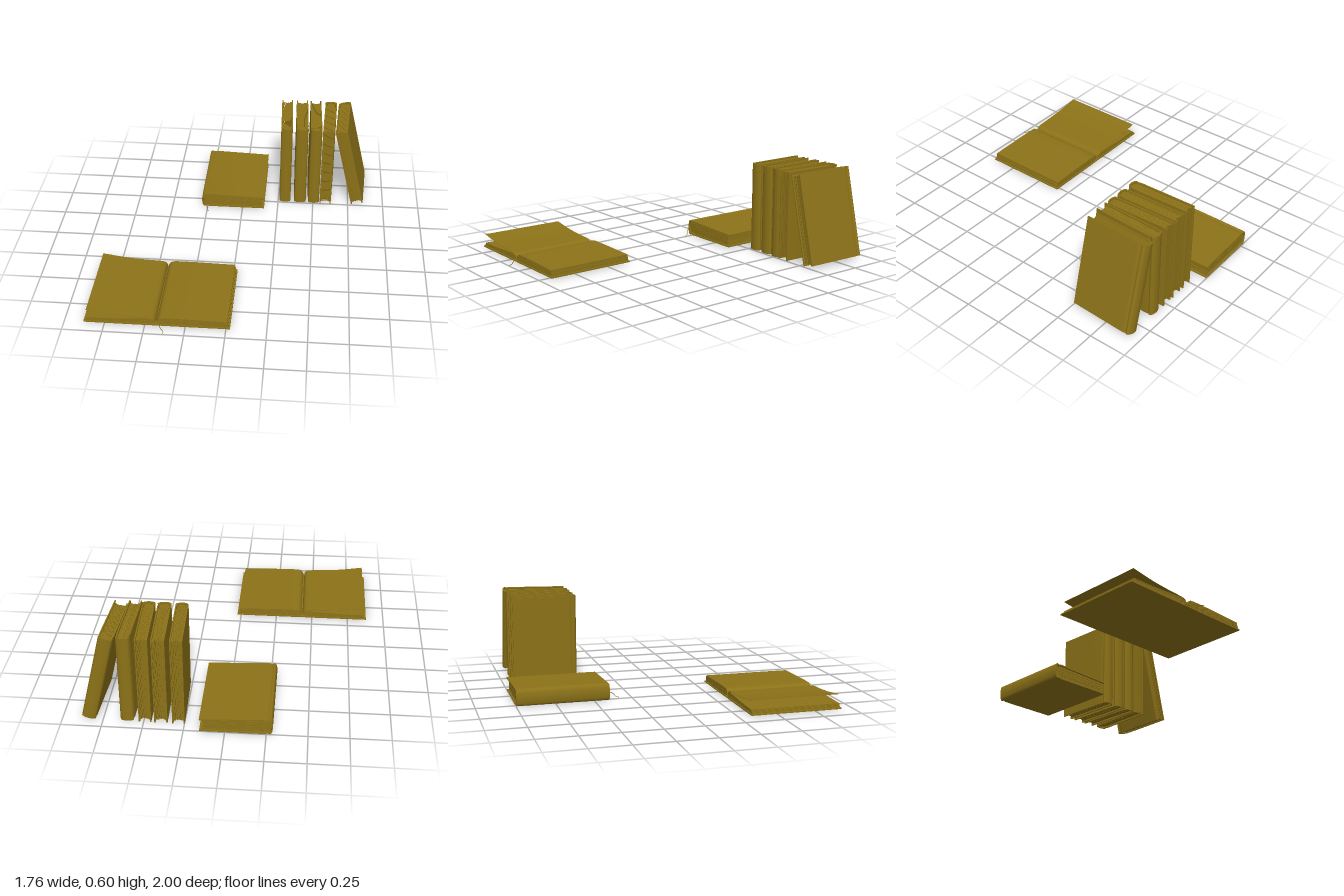
import * as THREE from 'three';
import { toCreasedNormals } from 'three/addons/utils/BufferGeometryUtils.js';

const mat = new THREE.MeshStandardMaterial({ color: 0x8c7218, side: THREE.DoubleSide });
const BOARD = 0.008; // cover thickness

// small seeded jitter in -0.5..0.5
let seed = 7;
const jitter = () => ((seed = (seed * 16807) % 2147483647) / 2147483647) - 0.5;

function add(parent, geometry, name) {
  const mesh = new THREE.Mesh(geometry, mat);
  mesh.name = name;
  parent.add(mesh);
  return mesh;
}

// extrude a closed [x, y] outline along z, centred on z = 0
function slab(points, length) {
  const shape = new THREE.Shape(points.map(([x, y]) => new THREE.Vector2(x, y)));
  const g = new THREE.ExtrudeGeometry(shape, { depth: length, bevelEnabled: false });
  g.translate(0, 0, -length / 2);
  return toCreasedNormals(g, 0.7);
}

// smooth curve through [x, y] points, sampled
function smooth(points, n) {
  const curve = new THREE.SplineCurve(points.map(([x, y]) => new THREE.Vector2(x, y)));
  return curve.getPoints(n).map((p) => [p.x, p.y]);
}

function ribbon(parent, points) {
  const curve = new THREE.CatmullRomCurve3(points.map((p) => new THREE.Vector3(...p)));
  add(parent, new THREE.TubeGeometry(curve, 16, 0.002, 5), 'bookmarkRibbon');
}

// Closed book: spine at x = 0, fore edge at x = w, thickness along y, height along z
function closedBook(name, { w = 0.44, h = 0.595, spineT = 0.09, edgeT = 0.085 }) {
  const book = new THREE.Group();
  book.name = name;
  const topAt = (x) => spineT + ((edgeT - spineT) * x) / w;

  // wrap-round cover with hinge grooves and a rounded spine
  const wrap = (o) => [
    [w, o],
    ...smooth([
      [0.06, o], [0.045, o + 0.001], [0.032, o + 0.005], [0.018, o],
      [0.006 + o, 0.012 + o * 0.5], [o, spineT / 2], [0.006 + o, spineT - 0.012 - o * 0.5],
      [0.018, topAt(0.018) - o], [0.032, topAt(0.032) - o - 0.005],
      [0.045, topAt(0.045) - o - 0.001], [0.06, topAt(0.06) - o],
    ], 40),
    [w, edgeT - o],
  ];
  add(book, slab([...wrap(0), ...wrap(BOARD).reverse()], h), 'cover');

  // page gatherings with a hollow fore edge
  const n = 9;
  const lift = (f, x) => BOARD + f * (topAt(x) - 2 * BOARD);
  for (let i = 0; i < n; i++) {
    const f0 = i / n, f1 = (i + 0.93) / n, mid = (i + 0.5) / n;
    const x0 = 0.022 - 0.012 * Math.sin(Math.PI * mid);
    const x1 = w - 0.01 - 0.014 * Math.sin(Math.PI * mid) + jitter() * 0.004;
    const dip = 0.006 * Math.cos(Math.PI * mid); // pages follow the hinge groove
    const xs = [x0, 0.032, 0.06, x1];
    const row = (f) => xs.map((x, k) => [x, lift(f, x) + (k === 1 ? dip : 0)]);
    add(book, slab([...row(f0), ...row(f1).reverse()], h - 0.022 + jitter() * 0.006), 'pages');
  }
  return book;
}

// Stand a book upright: spine forward (+z) or backward, turned and leaning about its foot
function standing(name, { x, z, yaw, lean = 0, spineFront, t }) {
  const h = 0.595, w = 0.435;
  const book = closedBook(name + 'Book', { w, h, spineT: t, edgeT: t * 0.96 });
  const s = spineFront ? -1 : 1;
  const basis = new THREE.Matrix4().makeBasis(
    new THREE.Vector3(0, 0, s), new THREE.Vector3(s, 0, 0), new THREE.Vector3(0, 1, 0));
  book.quaternion.setFromRotationMatrix(basis);
  book.position.set(spineFront ? t : 0, h / 2, (-s * w) / 2);
  const pivot = new THREE.Group();
  pivot.name = name;
  pivot.rotation.set(0, yaw, lean, 'ZYX');
  pivot.position.set(x, 0, z);
  pivot.add(book);
  return pivot;
}

function openBook() {
  const book = new THREE.Group();
  book.name = 'openBook';
  const length = 0.59;

  // flat cover boards joined by a slightly raised spine strip
  const crest = smooth([[-0.45, 0], [-0.03, 0], [-0.015, 0.006], [0, 0.002],
    [0.015, 0.006], [0.03, 0], [0.455, 0]], 60);
  const top = crest.map(([x, y]) => [x, y + BOARD]).reverse();
  add(book, slab([...crest, ...top], length), 'cover');

  // page stacks swelling beside the gutter; [distance from gutter, height]
  const sides = [
    { s: -1, layers: 4, profile: [[0.004, 0.012], [0.02, 0.03], [0.05, 0.038], [0.12, 0.034], [0.28, 0.026], [0.425, 0.023]] },
    { s: 1, layers: 6, profile: [[0.004, 0.012], [0.018, 0.036], [0.045, 0.046], [0.13, 0.047], [0.28, 0.044], [0.436, 0.04]] },
  ];
  for (const { s, layers, profile } of sides) {
    const curve = smooth(profile, 30);
    for (let i = 0; i < layers; i++) {
      const slant = (1 - i / layers) * 0.012 + jitter() * 0.004;
      const row = (f) => curve.map(([d, y]) => [
        s * (d + (slant * d) / 0.436), BOARD + 0.001 + y * f + 0.004 * Math.exp(-((d / 0.02) ** 2))]);
      const lower = row(i / layers), upper = row((i + 0.93) / layers).reverse();
      add(book, slab([...lower, ...upper], length - 0.012 + jitter() * 0.004), 'pages');
    }
  }

  // one loose leaf lifting off the left stack
  const leaf = smooth([[-0.004, 0.024], [-0.018, 0.044], [-0.05, 0.051], [-0.15, 0.056],
    [-0.28, 0.067], [-0.43, 0.09]], 30);
  add(book, slab([...leaf, ...leaf.map(([x, y]) => [x, y + 0.0015]).reverse()], length - 0.012), 'loosePage');

  ribbon(book, [[0.002, 0.026, 0.2], [0.003, 0.026, 0.28], [0.022, 0.024, 0.305],
    [0.03, 0.014, 0.33], [0.05, 0.006, 0.352], [0.054, 0.003, 0.373]]);
  return book;
}

export function createModel() {
  const model = new THREE.Group();
  model.name = 'bookCollection';

  // book lying flat
  const lying = closedBook('lyingBook', { w: 0.444, h: 0.595, spineT: 0.106, edgeT: 0.088 });
  lying.position.set(-0.29, 0, -0.7025);
  ribbon(lying, [[0.014, 0.05, 0.25], [0.018, 0.05, 0.3], [0.024, 0.036, 0.325],
    [0.044, 0.014, 0.345], [0.05, 0.003, 0.368]]);
  model.add(lying);

  // row of upright books, the last with its spine to the back
  [0.252, 0.357, 0.457, 0.555].forEach((x, i) => {
    const spineFront = i < 3;
    model.add(standing('uprightBook' + (i + 1), {
      x, z: -0.72, yaw: spineFront ? 0.035 : -0.03, spineFront, t: [0.08, 0.085, 0.08, 0.083][i],
    }));
  });

  // book leaning against the row
  model.add(standing('leaningBook', { x: 0.785, z: -0.728, yaw: -0.05, lean: 0.235, spineFront: false, t: 0.088 }));

  const open = openBook();
  open.position.set(-0.43, 0, 0.627);
  model.add(open);
  return model;
}
